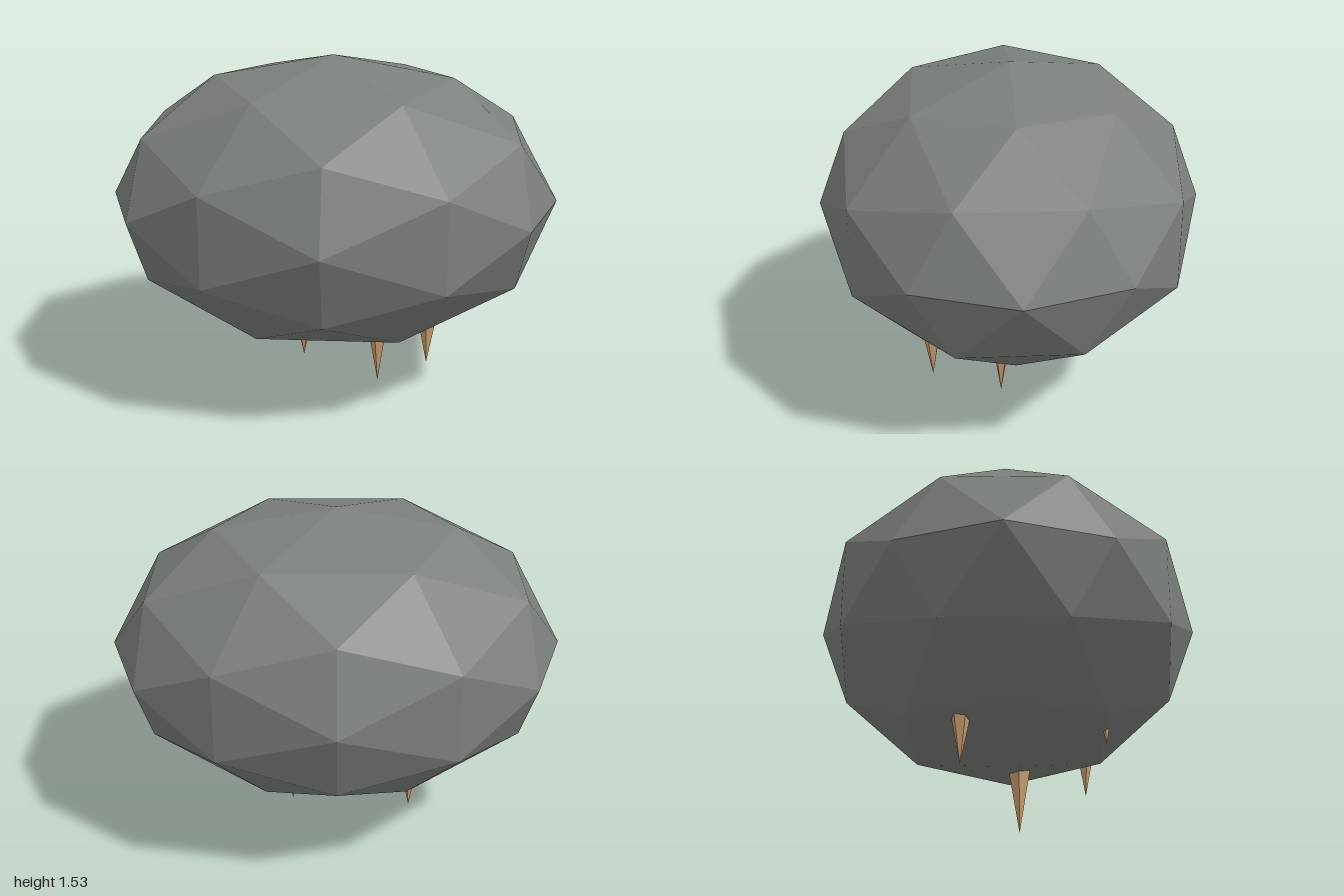
import * as THREE from 'three';

export function createModel() {
  const model = new THREE.Group();
  const rockMaterial = new THREE.MeshStandardMaterial({ color: 0x7c807c, flatShading: true });
  const spikeMaterial = new THREE.MeshStandardMaterial({ color: 0xcc9f70, flatShading: true });

  // Faceted ellipsoid body
  const bodyGeometry = new THREE.IcosahedronGeometry(1, 1);
  bodyGeometry.scale(1, 0.647, 0.85);
  const body = new THREE.Mesh(bodyGeometry, rockMaterial);
  body.name = 'body';
  body.position.y = 0.885;
  model.add(body);

  // Slim spikes hanging from the underside, their bases sunk into the body
  const spikes = new THREE.Group();
  spikes.name = 'spikes';
  const addSpike = (x, tipY, z, height, radius, turn) => {
    const geometry = new THREE.ConeGeometry(radius, height, 5);
    geometry.rotateX(Math.PI);
    geometry.translate(0, height / 2, 0);
    const spike = new THREE.Mesh(geometry, spikeMaterial);
    spike.name = 'spike';
    spike.position.set(x, tipY, z);
    spike.rotation.y = turn;
    spikes.add(spike);
  };
  addSpike(0.21, 0, 0.05, 0.32, 0.056, 0.3);
  addSpike(-0.335, 0.13, -0.19, 0.23, 0.046, 0.9);
  addSpike(0.43, 0.245, 0.36, 0.2, 0.04, 0.5);
  addSpike(-0.1, 0.3, 0.43, 0.11, 0.024, 0);
  model.add(spikes);

  return model;
}
